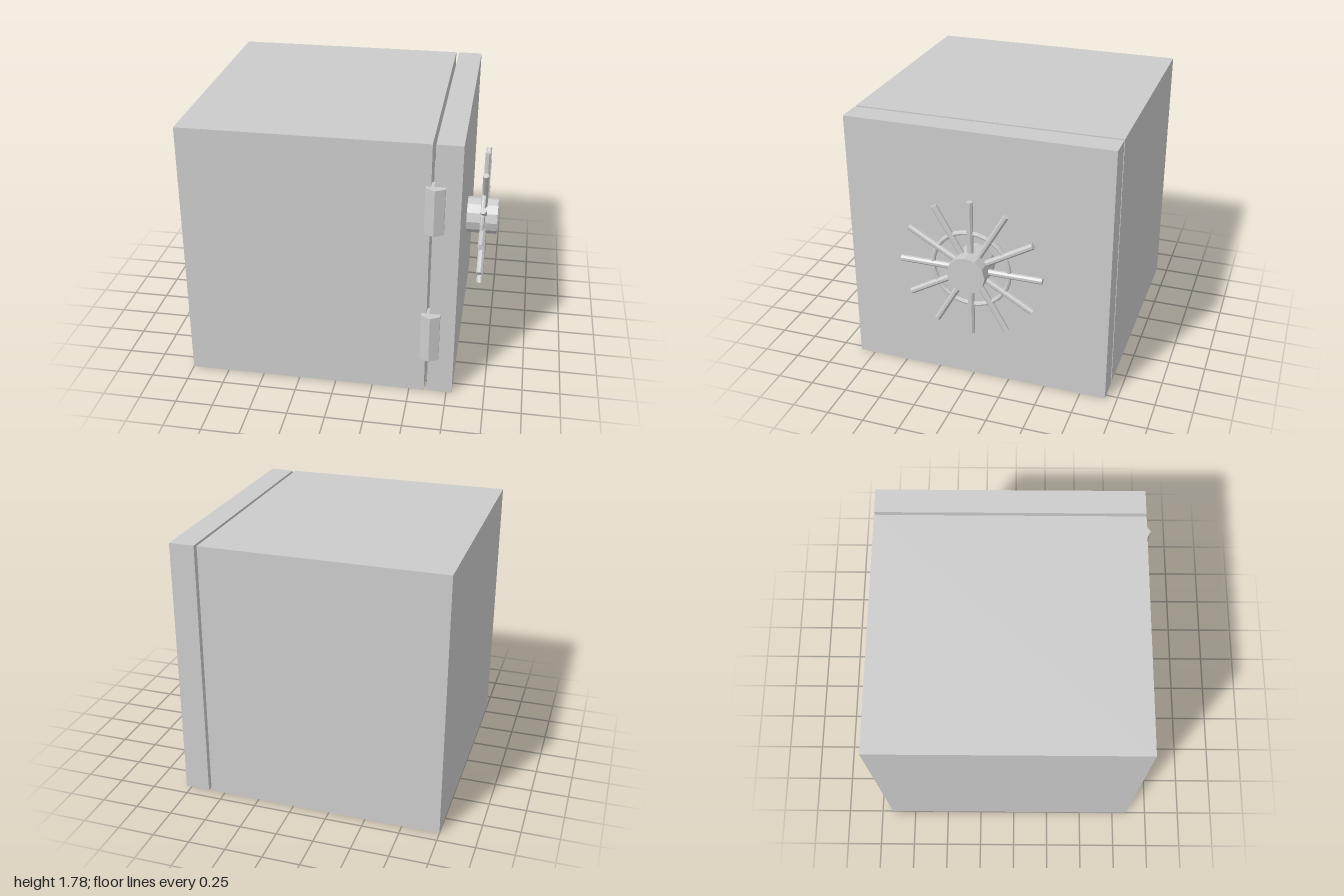
import * as THREE from 'three';

const material = new THREE.MeshStandardMaterial({ color: 0xcccccc, flatShading: true });

function part(name, geometry, parent) {
  const mesh = new THREE.Mesh(geometry, material);
  mesh.name = name;
  parent.add(mesh);
  return mesh;
}

// Box given by its extents along each axis
function slab(name, [x0, x1], [y0, y1], [z0, z1], parent) {
  const mesh = part(name, new THREE.BoxGeometry(x1 - x0, y1 - y0, z1 - z0), parent);
  mesh.position.set((x0 + x1) / 2, (y0 + y1) / 2, (z0 + z1) / 2);
  return mesh;
}

export function createModel() {
  const model = new THREE.Group();
  model.name = 'safe';

  // Cabinet, door and the recessed plug between them
  const height = [0, 1.785], depth = [-0.922, 0.855];
  slab('cabinet', [-1, 0.6], height, depth, model);
  slab('doorPlug', [0.59, 0.63], [0.2, 1.585], [-0.728, 0.658], model);
  slab('door', [0.62, 0.787], height, depth, model);

  // Hexagonal hinges on the front corner of the gap
  for (const [name, y0, y1] of [['upperHinge', 1.2, 1.51], ['lowerHinge', 0.275, 0.605]]) {
    const hinge = part(name, new THREE.CylinderGeometry(0.071, 0.071, y1 - y0, 6), model);
    hinge.position.set(0.628, (y0 + y1) / 2, 0.848);
  }

  // Hand wheel: local +y is the axle, turned to point along +x
  const wheel = new THREE.Group();
  wheel.name = 'handWheel';
  wheel.position.set(0.785, 0.893, -0.035);
  wheel.rotation.z = -Math.PI / 2;
  model.add(wheel);

  const hub = part('hub', new THREE.CylinderGeometry(0.127, 0.127, 0.215, 12), wheel);
  hub.position.y = 0.1075;

  const ring = part('ring', new THREE.TorusGeometry(0.258, 0.016, 8, 32), wheel);
  ring.rotation.x = Math.PI / 2;
  ring.position.y = 0.116;

  // Twelve octagonal spokes
  const spokeGeometry = new THREE.CylinderGeometry(0.021, 0.021, 0.38, 8)
    .rotateY(Math.PI / 8)
    .rotateZ(-Math.PI / 2)
    .translate(0.288, 0.121, 0);
  for (let i = 0; i < 12; i++) {
    part('spoke', spokeGeometry, wheel).rotation.y = (i * Math.PI) / 6;
  }

  return model;
}
